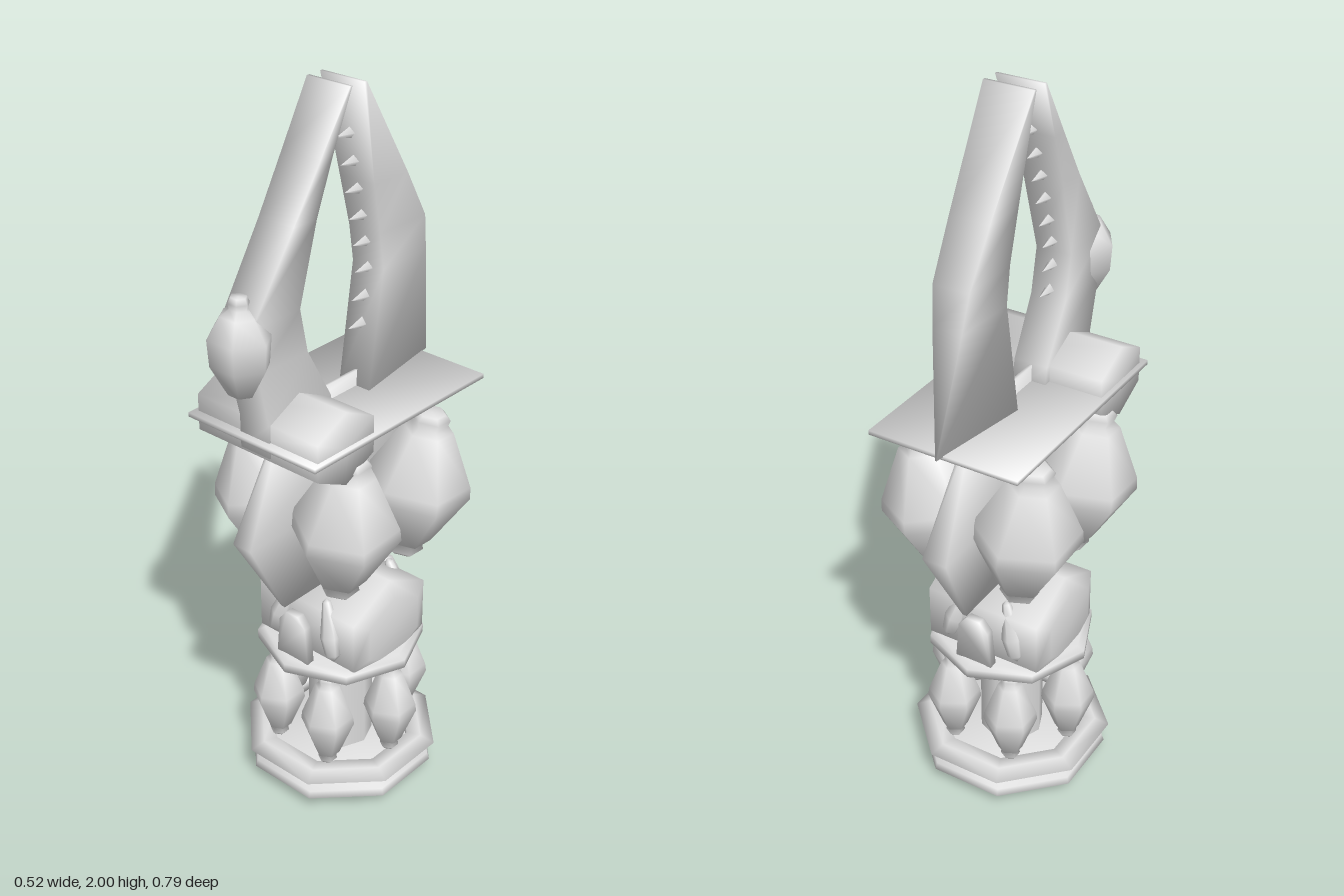
import * as THREE from 'three';
import { mergeVertices } from 'three/addons/utils/BufferGeometryUtils.js';

const metal = new THREE.MeshStandardMaterial({ color: 0xdedede });
metal.name = 'light grey metal';

export function createModel() {
  const model = new THREE.Group();
  const lowerZ = -0.03; // axis of base and waist

  function add(name, geometry, x = 0, y = 0, z = 0) {
    const mesh = new THREE.Mesh(geometry, metal);
    mesh.name = name;
    mesh.position.set(x, y, z);
    model.add(mesh);
    return mesh;
  }

  // Shared corners with angle-weighted normals, so shading rolls over every edge
  function smooth(source) {
    source.deleteAttribute('normal');
    source.deleteAttribute('uv');
    const geometry = mergeVertices(source, 1e-5);
    const position = geometry.attributes.position;
    const normals = Array.from({ length: position.count }, () => new THREE.Vector3());
    const index = geometry.index.array;
    const corners = [0, 1, 2].map(() => new THREE.Vector3());
    for (let i = 0; i < index.length; i += 3) {
      corners.forEach((c, k) => c.fromBufferAttribute(position, index[i + k]));
      const faceNormal = new THREE.Triangle(...corners).getNormal(new THREE.Vector3());
      if (faceNormal.lengthSq() < 0.5) continue;
      for (let k = 0; k < 3; k++) {
        const toNext = corners[(k + 1) % 3].clone().sub(corners[k]);
        const toLast = corners[(k + 2) % 3].clone().sub(corners[k]);
        normals[index[i + k]].addScaledVector(faceNormal, toNext.angleTo(toLast));
      }
    }
    const values = normals.flatMap((n) => n.normalize().toArray());
    geometry.setAttribute('normal', new THREE.Float32BufferAttribute(values, 3));
    return geometry;
  }

  // Turned shape from [radius, height] pairs listed bottom to top
  function lathe(profile, sides, turn = 0) {
    const geometry = new THREE.LatheGeometry(profile.map(([r, y]) => new THREE.Vector2(r, y)), sides);
    return smooth(geometry.rotateY(turn));
  }

  // Spindle with a small neck at each end
  function spindle(radius, height) {
    const profile = [[0, -0.5], [0.26, -0.5], [0.36, -0.47], [0.32, -0.42], [0.46, -0.39],
      [1, -0.03], [0.96, 0.05], [0.46, 0.39], [0.32, 0.42], [0.36, 0.47], [0.26, 0.5], [0, 0.5]];
    return lathe(profile.map(([r, y]) => [r * radius, y * height]), 6);
  }

  // Four-cornered loft; rows are [y, front z, front half width, back z, back half width]
  function loft(rows) {
    const positions = [];
    const index = [];
    for (const [y, zf, wf, zb, wb] of rows) {
      positions.push(-wf, y, zf, wf, y, zf, wb, y, zb, -wb, y, zb);
    }
    for (let i = 0; i < rows.length - 1; i++) {
      for (let j = 0; j < 4; j++) {
        const a = i * 4 + j, b = i * 4 + (j + 1) % 4;
        index.push(a, b, b + 4, a, b + 4, a + 4);
      }
    }
    const t = (rows.length - 1) * 4;
    index.push(0, 2, 1, 0, 3, 2, t, t + 1, t + 2, t, t + 2, t + 3);
    const geometry = new THREE.BufferGeometry();
    geometry.setAttribute('position', new THREE.Float32BufferAttribute(positions, 3));
    geometry.setIndex(index);
    return smooth(geometry);
  }

  // Hexagonal barrel lying along x with an edge pointing up
  function barrel(name, profile, y, z, depth) {
    const geometry = lathe(profile, 6, Math.PI / 6);
    geometry.rotateZ(-Math.PI / 2);
    geometry.scale(1, 1, depth);
    add(name, geometry, 0, y, z);
  }

  // Base, rim, column and upper ring
  add('base', lathe([[0, 0], [0.22, 0.005], [0.268, 0.04], [0.262, 0.06], [0.225, 0.085], [0, 0.085]], 8, Math.PI / 8), 0, 0, lowerZ);
  add('baseRim', lathe([[0.2, 0.085], [0.24, 0.085], [0.28, 0.102], [0.24, 0.12], [0.2, 0.12], [0.2, 0.085]], 8, Math.PI / 8), 0, 0, lowerZ);
  add('column', lathe([[0.09, 0.08], [0.09, 0.42]], 8), 0, 0, lowerZ);
  add('waistRing', lathe([[0, 0.41], [0.2, 0.41], [0.23, 0.418], [0.23, 0.444], [0.21, 0.452], [0, 0.452]], 8), 0, 0, lowerZ);

  // Six spindles around the column
  for (let i = 0; i < 6; i++) {
    const a = Math.PI / 6 + i * Math.PI / 3;
    add('baseSpindle', spindle(0.074, 0.29), 0.182 * Math.sin(a), 0.265, lowerZ + 0.182 * Math.cos(a));
  }

  // Waist barrel with plates and leaves
  barrel('waistBarrel', [[0, -0.19], [0.1, -0.187], [0.147, -0.168], [0.147, 0.168], [0.1, 0.187], [0, 0.19]], 0.525, -0.035, 1.15);
  const plate = new THREE.Shape([[-0.055, 0], [0.055, 0], [0.045, 0.11], [0.02, 0.14], [-0.02, 0.14], [-0.045, 0.11]]
    .map(([x, y]) => new THREE.Vector2(x, y)));
  for (const s of [-1, 1]) {
    const plateGeometry = new THREE.ExtrudeGeometry(plate, { depth: 0.024, bevelEnabled: false });
    add('waistPlate', smooth(plateGeometry), 0, 0.45, lowerZ + s * 0.185 - 0.012);
    for (const side of [-1, 1]) {
      const leaf = add('waistLeaf', lathe([[0, -0.09], [0.022, -0.07], [0.03, -0.02], [0.012, 0.08], [0, 0.09]], 6),
        side * 0.085, 0.55, lowerZ + s * 0.14);
      leaf.rotation.set(-s * 0.15, 0, side * 0.28);
    }
  }

  // Thin hexagonal body blade
  add('bodyBlade', loft([
    [0.635, 0.2, 0.006, -0.265, 0.006],
    [0.89, 0.345, 0.03, -0.395, 0.035],
    [1.19, 0.2, 0.006, -0.225, 0.006],
    [1.225, 0.07, 0.004, -0.13, 0.004],
  ]));

  // Four large spindles around the blade, leaning inwards at the bottom
  for (const side of [-1, 1]) {
    for (const z of [0.11, -0.18]) {
      const muscle = add('bodySpindle', spindle(0.146, 0.44), side * 0.137, 0.9, z);
      muscle.rotation.set(z > 0 ? 0.06 : -0.06, 0, -side * 0.14);
    }
  }

  // Deck and hinge
  add('deck', smooth(new THREE.BoxGeometry(0.425, 0.012, 0.655)), 0, 1.177, -0.022);
  barrel('hingeBarrel', [[0, -0.2], [0.1, -0.2], [0.1, 0.2], [0, 0.2]], 1.18, 0.18, 1.18);

  // Curved front claw, its foot lapping the hinge, and broad rear claw
  add('frontClaw', loft([
    [1.14, 0.287, 0.048, 0.05, 0.048],
    [1.23, 0.288, 0.048, 0.065, 0.048],
    [1.38, 0.322, 0.05, 0.15, 0.05],
    [1.5, 0.34, 0.05, 0.175, 0.05],
    [1.71, 0.2, 0.055, 0.12, 0.055],
    [1.85, 0.112, 0.06, 0.07, 0.06],
    [2, 0.018, 0.066, 0.01, 0.066],
  ]));
  add('rearClaw', loft([
    [1.18, -0.08, 0.05, -0.372, 0.002],
    [1.5, -0.13, 0.05, -0.31, 0.04],
    [1.6, -0.115, 0.05, -0.29, 0.05],
    [1.735, -0.085, 0.055, -0.21, 0.055],
    [2, -0.03, 0.068, -0.038, 0.068],
  ]));

  // Teeth along both inner edges
  const frontInner = [[1.4, 0.155], [1.5, 0.175], [1.71, 0.12], [1.86, 0.07]];
  const rearInner = [[1.35, -0.105], [1.5, -0.13], [1.6, -0.115], [1.735, -0.085], [1.86, -0.06]];
  function teeth(name, edge, direction) {
    for (let i = 0; i < 8; i++) {
      const y = edge[0][0] + i * (edge[edge.length - 1][0] - edge[0][0]) / 7;
      let k = 0;
      while (k < edge.length - 2 && y > edge[k + 1][0]) k++;
      const t = (y - edge[k][0]) / (edge[k + 1][0] - edge[k][0]);
      const z = THREE.MathUtils.lerp(edge[k][1], edge[k + 1][1], t);
      const tooth = add(name, new THREE.ConeGeometry(0.018, 0.06, 4), 0, y, z + direction * 0.02);
      tooth.rotation.x = direction * Math.PI / 2;
    }
  }
  teeth('frontTooth', frontInner, -1);
  teeth('rearTooth', rearInner, 1);

  // Knuckle on the front claw
  const knuckle = add('knuckle', lathe([[0, -0.12], [0.035, -0.12], [0.08, -0.04], [0.085, 0.03], [0.05, 0.085],
    [0.025, 0.1], [0.028, 0.115], [0.022, 0.13], [0, 0.13]], 6, Math.PI / 6), 0, 1.44, 0.328);
  knuckle.scale.z = 0.91;

  return model;
}
